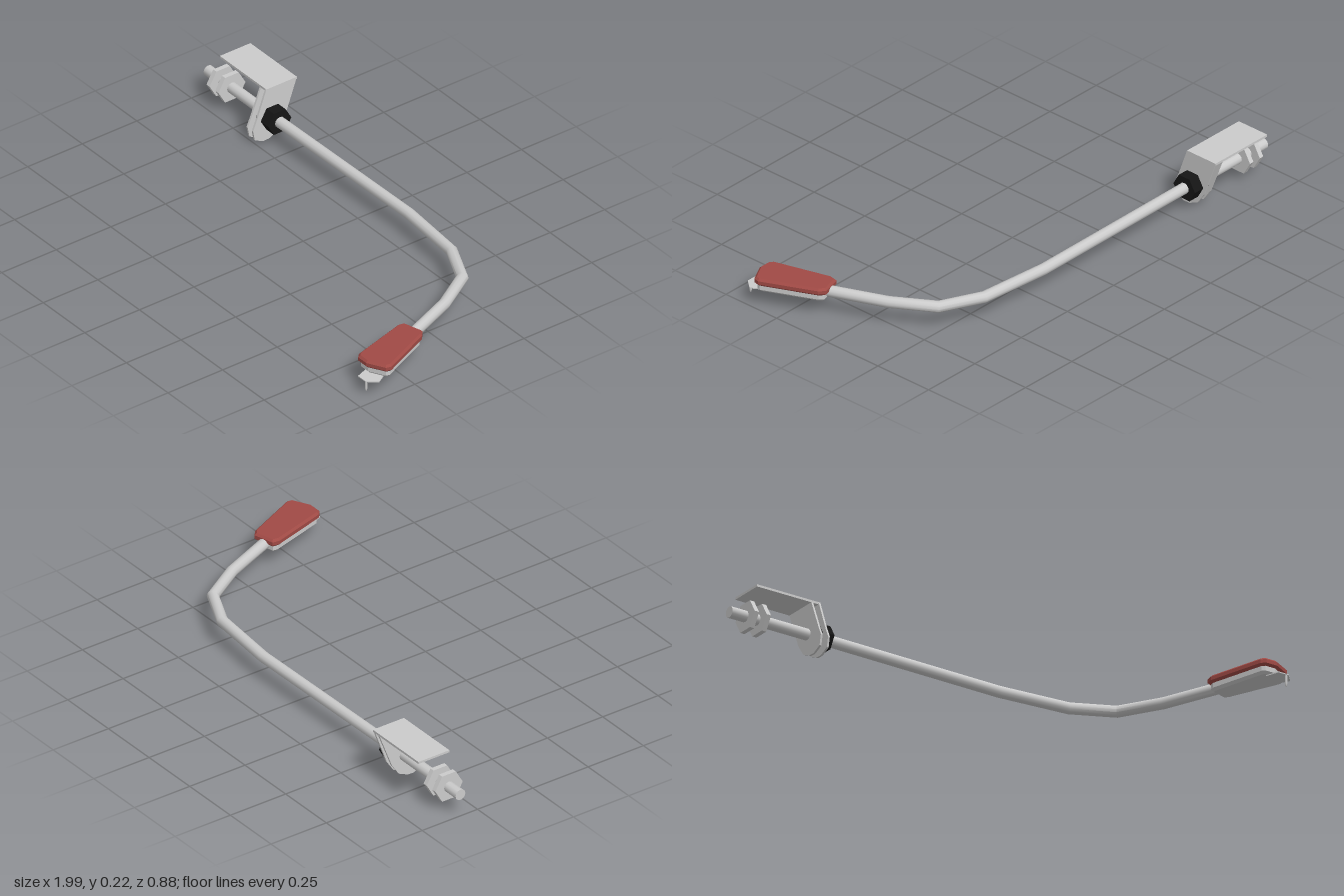
import * as THREE from 'three';
import { toCreasedNormals } from 'three/addons/utils/BufferGeometryUtils.js';

const mat = (color) => new THREE.MeshStandardMaterial({ color });
const grey = mat(0xcccccc);
const black = mat(0x151515);
const red = mat(0xa04a45);
const AXIS_Y = 0.091, AXIS_Z = -0.327;

function part(group, name, geometry, material = grey) {
  const mesh = new THREE.Mesh(geometry, material);
  mesh.name = name;
  group.add(mesh);
  return mesh;
}

// Flat outline extruded along its own z
function slab(points, depth, bevel = 0, bevelOffset = 0) {
  const shape = new THREE.Shape(points.map(([a, b]) => new THREE.Vector2(a, b)));
  return new THREE.ExtrudeGeometry(shape, {
    depth, bevelEnabled: bevel > 0, bevelThickness: bevel, bevelSize: bevel, bevelOffset, bevelSegments: 1,
  });
}

// Round rod swept along a flat polyline of [x, z] points with mitred bends
function bentRod(path, radius, y) {
  const pts = path.map(([x, z]) => new THREE.Vector2(x, z));
  const last = pts.length - 1;
  const rings = pts.map((p, i) => {
    const a = p.clone().sub(pts[Math.max(i - 1, 0)]).normalize();
    const b = pts[Math.min(i + 1, last)].clone().sub(p).normalize();
    const t = a.clone().add(b).normalize();
    const scale = 1 / t.dot(i ? a : b);
    return { p, side: new THREE.Vector2(-t.y, t.x).multiplyScalar(scale) };
  });
  const geo = new THREE.CylinderGeometry(radius, radius, 1, 12, last);
  const pos = geo.attributes.position;
  for (let i = 0; i < pos.count; i++) {
    const { p, side } = rings[Math.round((pos.getY(i) + 0.5) * last)];
    const s = pos.getX(i);
    pos.setXYZ(i, p.x + side.x * s, y + pos.getZ(i), p.y + side.y * s);
  }
  return toCreasedNormals(geo, 0.7);
}

// Hexagonal prism around the rod, corners pointing to front and back
function hexOnRod(radius, width, x) {
  const geo = new THREE.CylinderGeometry(radius, radius, width, 6).toNonIndexed();
  geo.computeVertexNormals();
  geo.rotateZ(Math.PI / 2);
  return geo.translate(x, AXIS_Y, AXIS_Z);
}

export function createModel() {
  const model = new THREE.Group();
  model.name = 'pickupArm';

  // Bent arm rod
  part(model, 'armRod', bentRod([
    [-1, AXIS_Z], [-0.6, AXIS_Z], [0.2, -0.335], [0.49, -0.308],
    [0.652, -0.232], [0.75, -0.075], [0.86, 0.19],
  ], 0.022, AXIS_Y));

  // Thin hexagonal nuts at the rear
  [-0.92, -0.867].forEach((x, i) => part(model, `rearNut${i + 1}`, hexOnRod(0.062, 0.019, x)));

  // Dark pivot collar
  part(model, 'pivotCollar', hexOnRod(0.053, 0.075, -0.6075), black);

  // Bracket: two upright plates and a horizontal flange
  const bracket = new THREE.Group();
  bracket.name = 'bracket';
  model.add(bracket);
  const outline = [
    [-0.30, 0.22], [-0.44, 0.22], [-0.383, 0.065], [-0.352, 0.02], [-0.312, 0.002],
    [-0.285, 0.001], [-0.247, 0.019], [-0.239, 0.06], [-0.258, 0.105],
  ];
  const upright = (x, top) => {
    const geo = slab(outline.map(([z, y]) => [-z, Math.min(y, top)]), 0.008);
    geo.rotateY(Math.PI / 2);
    return geo.translate(x, 0, 0);
  };
  part(bracket, 'outerPlate', upright(-0.623, 0.22));
  part(bracket, 'innerPlate', upright(-0.655, 0.212));
  const flange = part(bracket, 'flange', new THREE.BoxGeometry(0.28, 0.009, 0.14));
  flange.position.set(-0.755, 0.2155, -0.37);

  // Head: red cover over a slightly smaller grey shell
  const head = new THREE.Group();
  head.name = 'head';
  model.add(head);
  const headOutline = [
    [0.794, 0.142], [0.874, 0.119], [0.897, 0.139], [0.992, 0.35], [0.987, 0.372],
    [0.917, 0.41], [0.869, 0.41], [0.853, 0.395], [0.789, 0.17],
  ];
  const lay = (geo, top) => geo.rotateX(Math.PI / 2).translate(0, top, 0);
  part(head, 'headCover', lay(slab(headOutline, 0.014, 0.008, -0.008), 0.114), red);
  part(head, 'headShell', lay(slab(headOutline, 0.022, 0.01, -0.02), 0.095));

  // Finger plate and needle under the tip
  part(head, 'needlePlate', lay(slab([
    [0.885, 0.385], [0.955, 0.355], [0.982, 0.4], [0.95, 0.438], [0.905, 0.438],
  ], 0.004), 0.063));
  const needle = part(head, 'needle', new THREE.LatheGeometry([
    [0, 0.014], [0.003, 0.017], [0.005, 0.028], [0.005, 0.061],
  ].map(([r, y]) => new THREE.Vector2(r, y)), 8));
  needle.position.set(0.943, 0, 0.43);

  return model;
}
